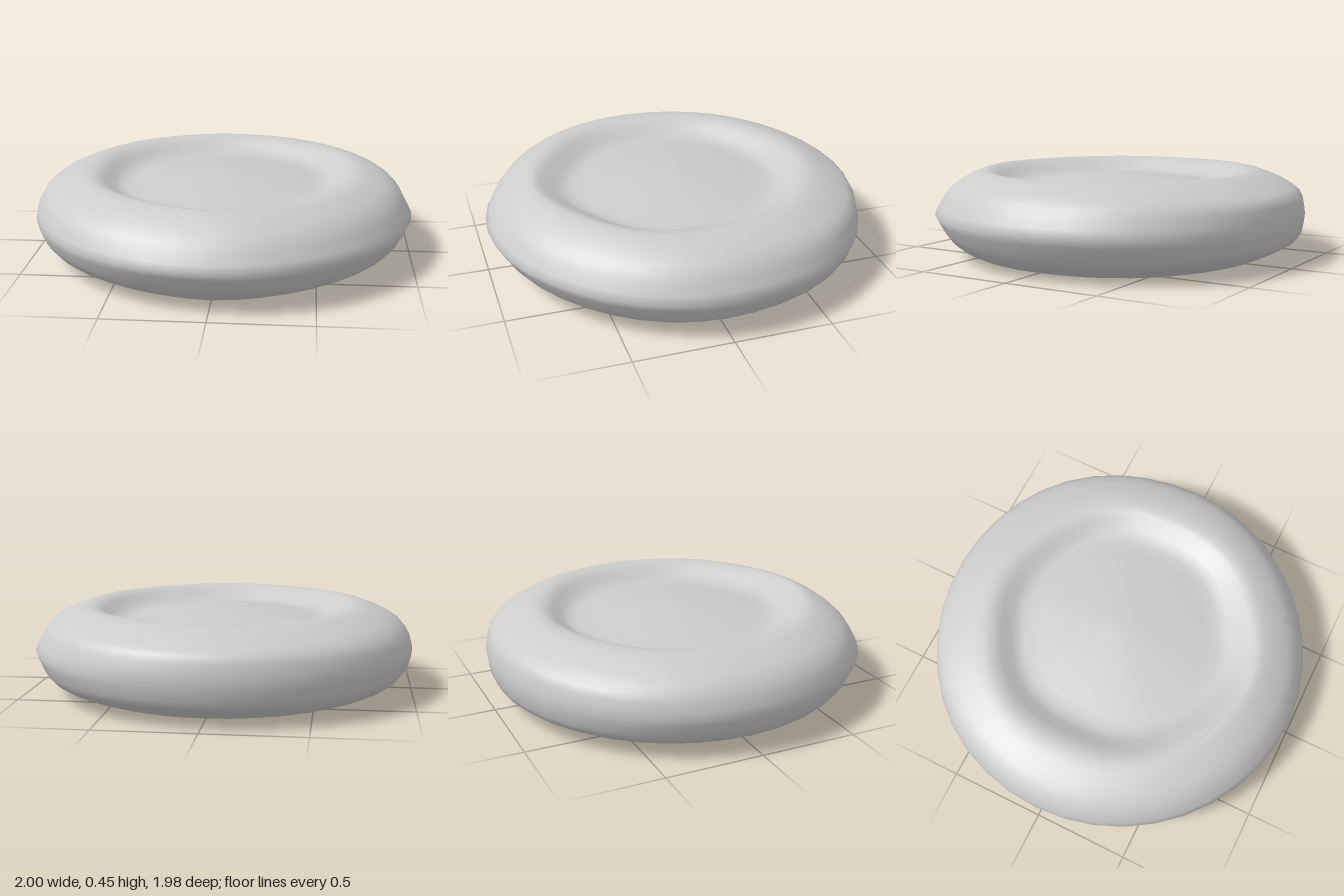
import * as THREE from 'three';
import { mergeVertices } from 'three/addons/utils/BufferGeometryUtils.js';

const SEGMENTS = 40;
const SAMPLES = 22;
const MID = 0.225;

// Gently raised dish floor shared by all profiles
const FLOOR = [[0.38, 0.165], [0.18, 0.187], [0, 0.2]];

// Half profiles [radius, height above mid-plane], from the rim inwards over the lip to the floor.
// Order around the disc: front (+z), left (+x), back (-z), right (-x).
const PROFILES = [
  [[0.985, 0], [0.925, 0.1], [0.85, 0.165], [0.75, 0.219], [0.69, 0.216], [0.61, 0.175], [0.53, 0.147]],
  [[1, 0], [0.94, 0.113], [0.865, 0.177], [0.75, 0.22], [0.67, 0.217], [0.61, 0.18], [0.53, 0.147]],
  [[0.99, 0], [0.97, 0.106], [0.9, 0.158], [0.76, 0.218], [0.67, 0.218], [0.6, 0.175], [0.53, 0.147]],
  [[1, 0], [0.973, 0.09], [0.9, 0.165], [0.76, 0.219], [0.67, 0.218], [0.6, 0.177], [0.53, 0.147]],
].map((p) => new THREE.SplineCurve([...p, ...FLOOR].map(([r, h]) => new THREE.Vector2(r, h))).getPoints(SAMPLES));

// Slight change of radius midway between neighbouring profiles
const DIAGONAL = [-0.016, 0.02, 0.01, 0];

// Blend the neighbouring key profiles at an angle; the dish edge is slightly six-sided.
function profilePoint(phi, k) {
  const q = phi / (Math.PI / 2);
  const i = Math.floor(q);
  const t = THREE.MathUtils.smoothstep(q - i, 0, 1);
  const p = PROFILES[i][k].clone().lerp(PROFILES[(i + 1) % 4][k], t);
  const dish = 1 - THREE.MathUtils.smoothstep(p.x, 0.66, 0.85);
  p.x *= 1 + 0.015 * dish * Math.cos(6 * phi) + DIAGONAL[i] * Math.sin(2 * phi) ** 2;
  p.y = Math.min(p.y, MID);
  return p;
}

export function createModel() {
  const group = new THREE.Group();
  group.name = 'biconcaveDisc';

  // Lathe grid running from the lower dish centre, round the rim, to the upper dish centre
  const rows = 2 * SAMPLES + 1;
  const base = Array.from({ length: rows }, (_, j) => new THREE.Vector2(1, j));
  let geometry = new THREE.LatheGeometry(base, SEGMENTS);
  const pos = geometry.attributes.position;
  for (let s = 0; s <= SEGMENTS; s++) {
    const phi = ((s % SEGMENTS) / SEGMENTS) * Math.PI * 2;
    for (let j = 0; j < rows; j++) {
      // Lower half has j below SAMPLES; the profile starts at the rim and ends at the centre
      const k = Math.abs(j - SAMPLES);
      const p = profilePoint(phi, k);
      const y = MID + Math.sign(j - SAMPLES) * p.y;
      pos.setXYZ(s * rows + j, p.x * Math.sin(phi), y, p.x * Math.cos(phi));
    }
  }

  // Weld the seam and the centres for smooth shading
  geometry.deleteAttribute('uv');
  geometry.deleteAttribute('normal');
  geometry = mergeVertices(geometry, 1e-5);
  geometry.computeVertexNormals();

  const disc = new THREE.Mesh(geometry, new THREE.MeshStandardMaterial({ color: 0xcccccc }));
  disc.name = 'dishedDisc';
  group.add(disc);
  return group;
}
